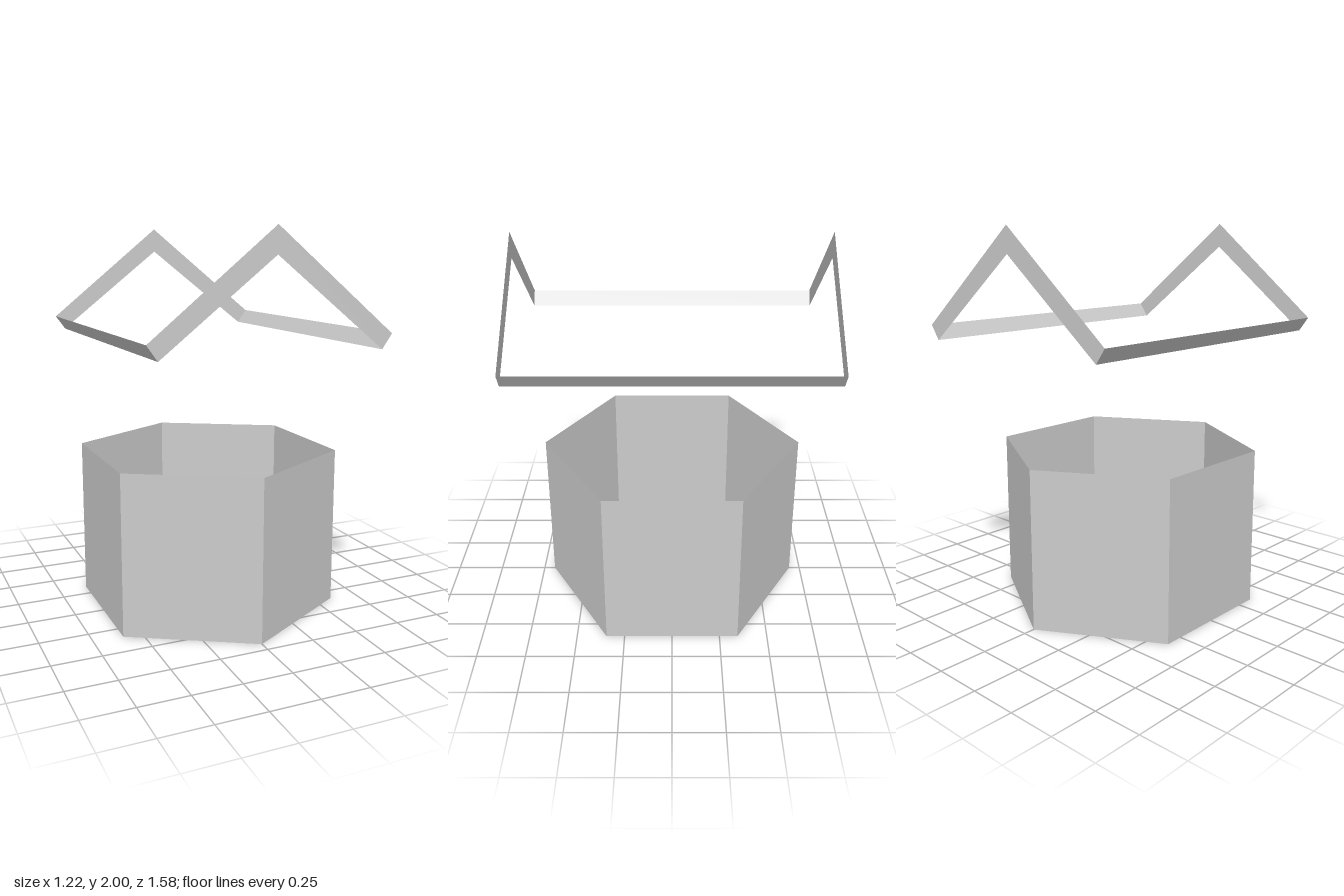
import * as THREE from 'three';

const material = new THREE.MeshStandardMaterial({ color: 0xcccccc, flatShading: true, side: THREE.DoubleSide });

function addPart(parent, name, geometry, x = 0, y = 0, z = 0) {
  const mesh = new THREE.Mesh(geometry, material);
  mesh.name = name;
  mesh.position.set(x, y, z);
  parent.add(mesh);
  return mesh;
}

export function createModel() {
  const model = new THREE.Group();
  model.name = 'hexagonalWell';

  // Open hexagonal basin: thin walls and a floor, one corner facing front
  const radius = 0.69, height = 0.84;
  const basin = new THREE.Group();
  basin.name = 'basin';
  model.add(basin);
  addPart(basin, 'basinWalls', new THREE.CylinderGeometry(radius, radius, height, 6, 1, true), 0, height / 2, 0);
  addPart(basin, 'basinFloor', new THREE.CircleGeometry(radius, 6, Math.PI / 2).rotateX(Math.PI / 2));

  // Roof frame: a flat chevron at each end, joined by a strip along each eave
  const roof = new THREE.Group();
  roof.name = 'roofFrame';
  model.add(roof);
  const halfDepth = 0.79;
  const outer = new THREE.Vector2(0.612, 1.503), inner = new THREE.Vector2(0.56, 1.43);
  const chevron = new THREE.Shape([
    new THREE.Vector2(0, 2), new THREE.Vector2(-outer.x, outer.y), new THREE.Vector2(-inner.x, inner.y),
    new THREE.Vector2(0, 1.87), inner, outer,
  ]);
  const gable = new THREE.ShapeGeometry(chevron);
  addPart(roof, 'frontGable', gable, 0, 0, halfDepth);
  addPart(roof, 'backGable', gable.clone().rotateY(Math.PI), 0, 0, -halfDepth);

  // Eave strips face outward and down, square to the roof slope
  const tilt = Math.atan2(outer.x - inner.x, outer.y - inner.y);
  for (const side of [1, -1]) {
    const strip = new THREE.PlaneGeometry(halfDepth * 2, outer.distanceTo(inner));
    strip.rotateY(side * Math.PI / 2).rotateZ(-side * tilt);
    addPart(roof, side > 0 ? 'leftEave' : 'rightEave', strip, side * (outer.x + inner.x) / 2, (outer.y + inner.y) / 2, 0);
  }
  return model;
}
